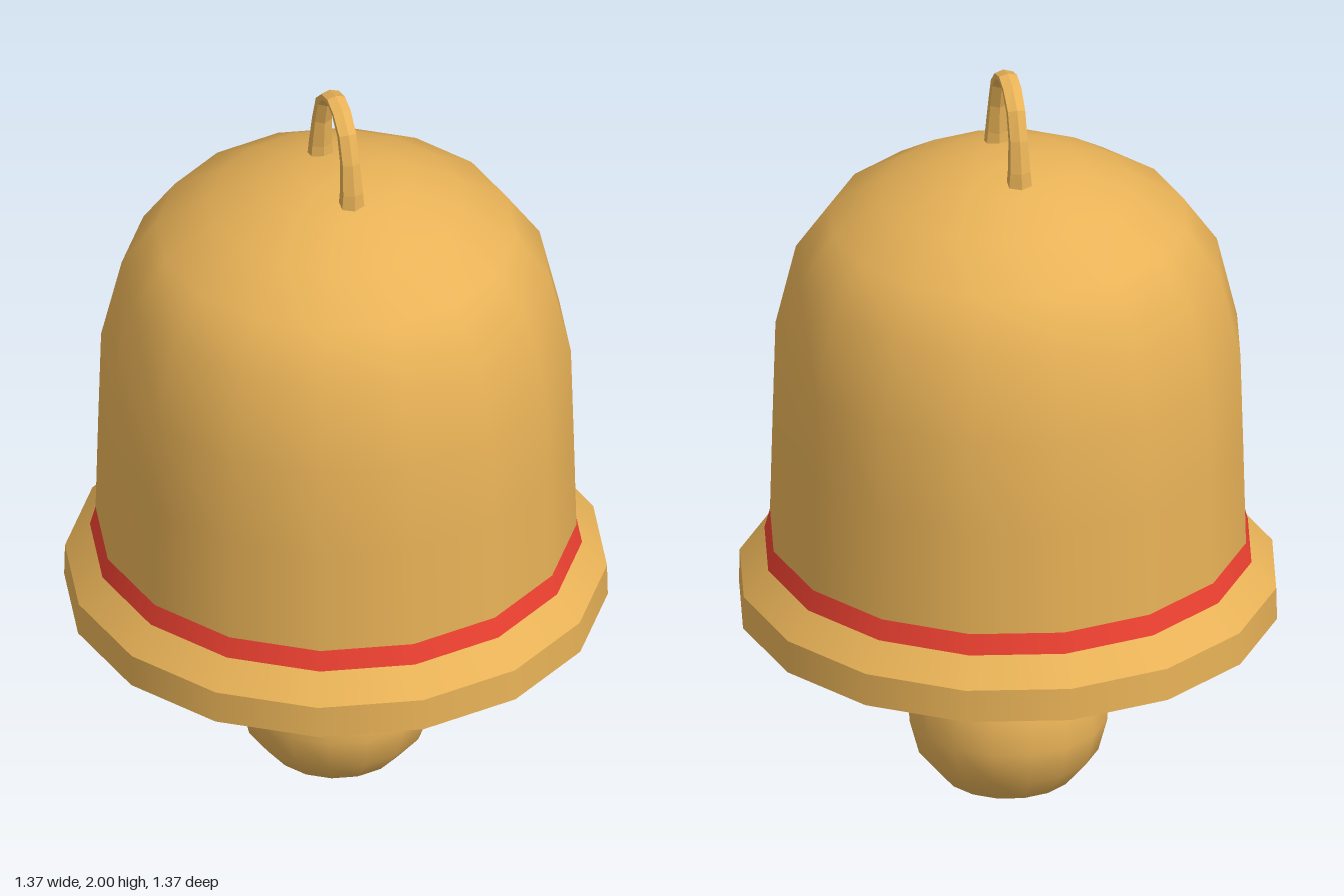
import * as THREE from 'three';

const SIDES = 16;
const TWIST = 0.02;
const gold = new THREE.MeshStandardMaterial({ color: 0xe8b257 });
const red = new THREE.MeshStandardMaterial({ color: 0xee4131 });

// Turned part; points run upward for an outer skin, downward for an inner one
function turned(name, points, material = gold) {
  const profile = points.map(([r, y]) => new THREE.Vector2(r, y));
  const mesh = new THREE.Mesh(new THREE.LatheGeometry(profile, SIDES), material);
  mesh.name = name;
  mesh.rotation.y = TWIST;
  return mesh;
}

// Six-sided arch in the z-y plane, flared at both feet
function hangingLoop() {
  // z, y, half thickness, half width
  const half = [
    [0.122, 1.735, 0.029, 0.031], [0.121, 1.785, 0.027, 0.027], [0.109, 1.865, 0.022, 0.023],
    [0.084, 1.935, 0.019, 0.023], [0.043, 1.975, 0.014, 0.024],
  ];
  const path = [
    ...half,
    [0, 1.988, 0.012, 0.024],
    ...half.slice().reverse().map(([z, ...rest]) => [-z, ...rest]),
  ];
  const n = 6, positions = [], index = [];
  path.forEach(([z, y, thick, wide], i) => {
    const p = path[Math.max(i - 1, 0)], q = path[Math.min(i + 1, path.length - 1)];
    const tangent = new THREE.Vector2(q[0] - p[0], q[1] - p[1]).normalize();
    for (let k = 0; k < n; k++) {
      const a = ((k + 0.5) / n) * Math.PI * 2;
      const out = Math.sin(a) * thick, side = Math.cos(a) * wide * 1.12;
      positions.push(side, y - tangent.x * out, z + tangent.y * out);
      if (i < path.length - 1) {
        const b = i * n + k, c = i * n + (k + 1) % n;
        index.push(b, c, b + n, c, c + n, b + n);
      }
    }
  });
  const geometry = new THREE.BufferGeometry();
  geometry.setAttribute('position', new THREE.Float32BufferAttribute(positions, 3));
  geometry.setIndex(index);
  geometry.computeVertexNormals();
  const material = gold.clone();
  material.side = THREE.DoubleSide;
  material.flatShading = true;
  const mesh = new THREE.Mesh(geometry, material);
  mesh.name = 'hangingLoop';
  mesh.rotation.y = TWIST;
  return mesh;
}

export function createModel() {
  const bell = new THREE.Group();
  bell.name = 'bell';

  // Outer skin, from rim to crown
  bell.add(turned('rim', [[0.685, 0.515], [0.683, 0.602]]));
  bell.add(turned('lip', [[0.683, 0.602], [0.62, 0.67]]));
  bell.add(turned('redBand', [[0.62, 0.67], [0.606, 0.723]], red));
  bell.add(turned('dome', [
    [0.606, 0.723], [0.599, 1.0], [0.592, 1.25], [0.54, 1.47], [0.453, 1.595],
    [0.32, 1.68], [0.19, 1.738], [0.08, 1.759], [0, 1.761],
  ]));

  // Hollow inside, close behind the outer skin
  bell.add(turned('innerShell', [
    [0, 1.74], [0.18, 1.718], [0.31, 1.658], [0.44, 1.575], [0.525, 1.455],
    [0.576, 1.245], [0.584, 1.0], [0.592, 0.72], [0.685, 0.515],
  ]));

  // Clapper with its stem running up to the crown
  bell.add(turned('clapper', [
    [0, 0.003], [0.09, 0.01], [0.17, 0.038], [0.23, 0.11], [0.254, 0.2],
    [0.243, 0.31], [0.182, 0.415], [0.163, 0.515], [0.163, 0.65], [0.163, 1.72],
  ]));

  bell.add(hangingLoop());
  return bell;
}
